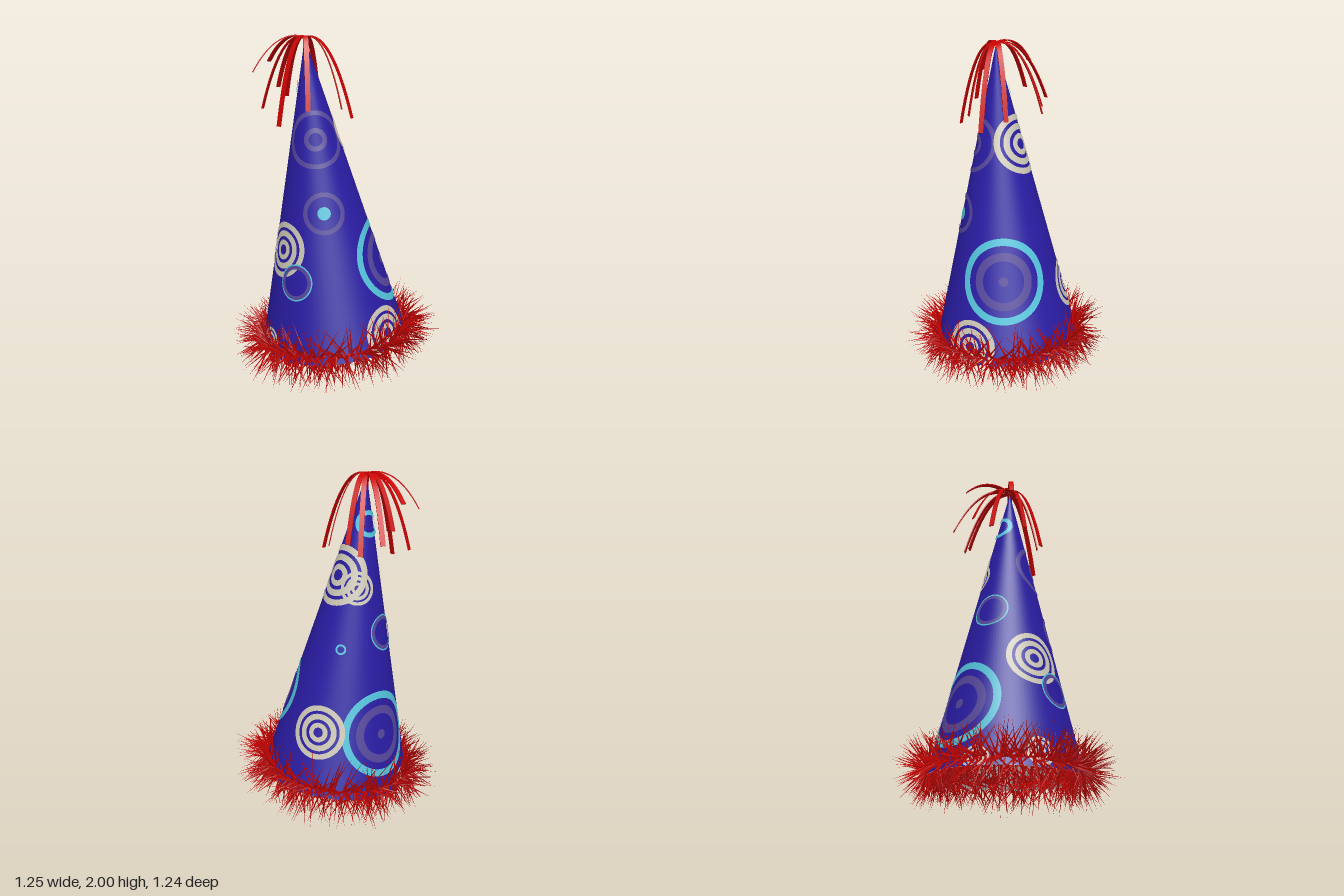
import * as THREE from 'three';
import { mergeGeometries } from 'three/addons/utils/BufferGeometryUtils.js';

const R = 0.438, H = 1.785, SLANT = Math.hypot(R, H);
const SIN = R / SLANT, COS = H / SLANT;

const mat = (name, color, side = THREE.FrontSide) => {
  const m = new THREE.MeshStandardMaterial({ color, side });
  m.name = name;
  return m;
};

function seeded(seed) {
  return () => {
    seed = (seed * 1664525 + 1013904223) % 4294967296;
    return seed / 4294967296;
  };
}

// Flat ring laid onto the unrolled cone, then wrapped around it
function wrappedRing(angle, height, inner, outer, lift) {
  const geo = new THREE.RingGeometry(inner, outer, 64, 3);
  const pos = geo.attributes.position, nor = geo.attributes.normal;
  const s0 = (H - height) / COS;
  for (let i = 0; i < pos.count; i++) {
    const px = s0 + pos.getX(i), py = pos.getY(i);
    const s = Math.min(Math.hypot(px, py), SLANT);
    const th = angle - Math.atan2(py, px) / SIN;
    const r = s * SIN + lift * COS;
    pos.setXYZ(i, r * Math.cos(th), H - s * COS + lift * SIN, r * Math.sin(th));
    nor.setXYZ(i, COS * Math.cos(th), SIN, COS * Math.sin(th));
  }
  return geo;
}

// Thin curved strip from the tip of the hat to a hanging end
function streamerGeometry(start, end) {
  const out = end.clone().sub(start).setY(0);
  const control = start.clone().addScaledVector(out, 0.55);
  control.y = 2.03;
  const curve = new THREE.QuadraticBezierCurve3(start, control, end);
  const side = new THREE.Vector3(out.z, 0, -out.x).normalize();
  const geo = new THREE.BoxGeometry(0.028, 0.006, 1, 1, 1, 14);
  const pos = geo.attributes.position;
  for (let i = 0; i < pos.count; i++) {
    const t = pos.getZ(i) + 0.5;
    const tangent = curve.getTangent(t);
    const up = tangent.clone().cross(side);
    const p = curve.getPoint(t)
      .addScaledVector(side, pos.getX(i))
      .addScaledVector(up, pos.getY(i));
    pos.setXYZ(i, p.x, p.y, p.z);
  }
  geo.computeVertexNormals();
  return geo;
}

export function createModel() {
  const model = new THREE.Group();
  model.name = 'partyHat';
  const blue = mat('blue card', 0x2a1ca4);
  const grey = mat('pale lining', 0xb8b8b8, THREE.DoubleSide);
  const red = mat('red tinsel', 0xcc0202);
  const cyan = mat('cyan print', 0x55c4dc);
  const purple = mat('purple print', 0x56479c);
  const cream = mat('cream print', 0xcfcab8);

  const add = (parent, name, geo, material) => {
    const mesh = new THREE.Mesh(geo, material);
    mesh.name = name;
    parent.add(mesh);
  };

  // Leaning hat: cone, lining, printed circles and fringe
  const hat = new THREE.Group();
  hat.name = 'hat';
  hat.position.set(-0.003, 0.203, 0);
  hat.rotation.set(-0.012, 0, 0.0955);
  model.add(hat);
  add(hat, 'cone', new THREE.ConeGeometry(R, H, 96, 1, true).translate(0, H / 2, 0), blue);
  add(hat, 'lining', new THREE.ConeGeometry(R - 0.006, H - 0.025, 96, 1, true)
    .translate(0, (H - 0.025) / 2, 0), grey);

  // Circle styles: [inner, outer, colour] relative to the outer radius
  const target = [[0.83, 1, cyan], [0.48, 0.67, purple], [0, 0.11, purple]];
  const ripple = [[0.8, 1, cream], [0.48, 0.69, cream], [0.18, 0.36, cream]];
  const dotted = [[0.78, 1, purple], [0, 0.31, cyan]];
  const halo = [[0.84, 1, purple], [0.23, 0.4, purple]];
  const thin = [[0.92, 1, cyan], [0.72, 0.92, purple]];
  const loop = [[0.65, 1, cyan]];
  // Placement: [style, angle in degrees from +x to +z, height, radius]
  const circles = [
    [target, 31, 0.475, 0.25], [target, 241, 0.355, 0.25],
    [halo, 107, 1.225, 0.165], [dotted, 106, 0.82, 0.12],
    [ripple, 278, 1.17, 0.095], [ripple, -30, 1.225, 0.175],
    [ripple, 304, 0.355, 0.155], [ripple, 165, 0.615, 0.16],
    [ripple, 61, 0.095, 0.155], [ripple, 171, 0.08, 0.08],
    [ripple, 216, 0.04, 0.07], [thin, 143, 0.445, 0.105],
    [thin, 223, 0.92, 0.105], [loop, 294, 0.83, 0.03],
    [loop, 246, 1.52, 0.075],
  ];
  circles.forEach(([style, deg, height, radius], i) => {
    for (const [a, b, material] of style) {
      const lift = 0.003 + 0.0003 * i;
      add(hat, 'printedCircle', wrappedRing(deg * Math.PI / 180, height,
        a * radius, b * radius, lift), material);
    }
  });

  // Tinsel fringe: fine spikes bristling all round the rim
  const rand = seeded(7);
  const up = new THREE.Vector3(0, 1, 0);
  const spikes = [];
  const count = 1400;
  for (let i = 0; i < count; i++) {
    const th = (i / count) * Math.PI * 2;
    const around = rand() * Math.PI * 2;
    const c = Math.cos(around);
    const skew = (rand() - 0.5) * 1.6;
    const dir = new THREE.Vector3(
      c * Math.cos(th) - skew * Math.sin(th), Math.sin(around),
      c * Math.sin(th) + skew * Math.cos(th)).normalize();
    const length = 0.165 + 0.065 * rand();
    const spike = new THREE.ConeGeometry(0.0068, length, 3, 1, true);
    spike.translate(0, length / 2, 0);
    spike.applyQuaternion(new THREE.Quaternion().setFromUnitVectors(up, dir));
    spike.translate(0.425 * Math.cos(th), 0.042, 0.425 * Math.sin(th));
    spikes.push(spike);
  }
  add(hat, 'tinselFringe', mergeGeometries(spikes), red);

  // Streamers hanging from the tip
  const tip = new THREE.Vector3(-0.173, 1.985, -0.02);
  const ends = [
    [-0.46, 1.79, -0.09], [-0.38, 1.58, -0.19], [-0.3, 1.85, -0.32], [-0.26, 1.7, -0.27],
    [-0.18, 1.64, -0.37], [-0.08, 1.57, -0.28], [-0.02, 1.63, -0.24], [0.03, 1.58, 0.03],
    [0.03, 1.54, 0.19], [-0.21, 1.58, 0.14], [-0.37, 1.5, 0.11], [-0.32, 1.65, 0.03],
  ];
  const tassel = new THREE.Group();
  tassel.name = 'tassel';
  model.add(tassel);
  for (const e of ends) {
    add(tassel, 'streamer', streamerGeometry(tip, new THREE.Vector3(...e)), red);
  }
  return model;
}
